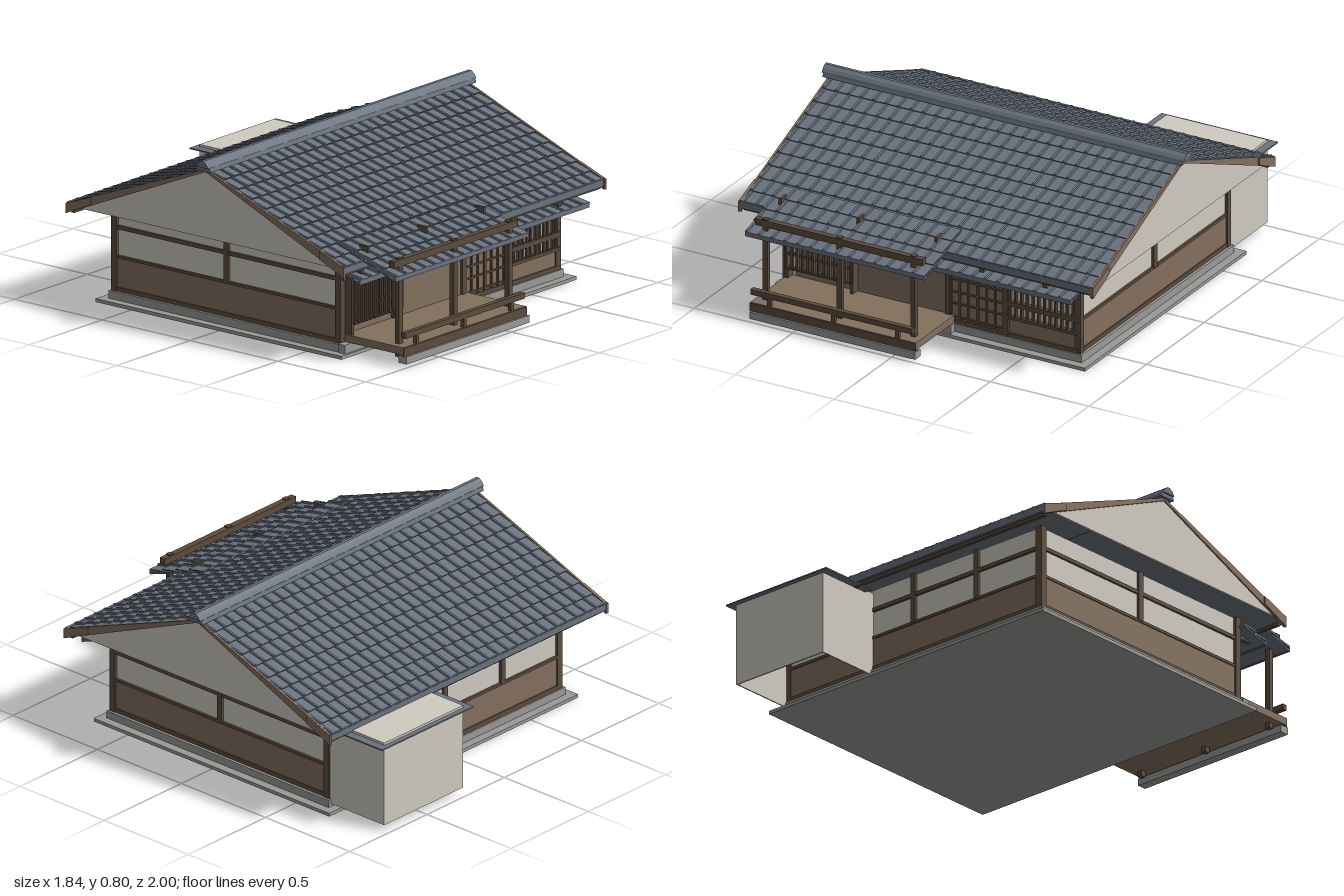
import * as THREE from 'three';

const mat = (name, color) => {
  const m = new THREE.MeshStandardMaterial({ color });
  m.name = name;
  return m;
};

export function createModel() {
  const model = new THREE.Group();
  model.name = 'house';
  const plaster = mat('plaster', 0xd0cbc0);
  const wood = mat('wood', 0x84705e);
  const darkWood = mat('darkWood', 0x5c4c3d);
  const tile = mat('roofTile', 0x6a737f);
  const stone = mat('stone', 0x9a9a98);

  const add = (name, geo, material, parent = model) => {
    const mesh = new THREE.Mesh(geo, material);
    mesh.name = name;
    parent.add(mesh);
    return mesh;
  };
  // Box given by its minimum and maximum on each axis
  const box = (name, material, x0, x1, y0, y1, z0, z1, parent) => {
    const mesh = add(name, new THREE.BoxGeometry(x1 - x0, y1 - y0, z1 - z0), material, parent);
    mesh.position.set((x0 + x1) / 2, (y0 + y1) / 2, (z0 + z1) / 2);
    return mesh;
  };
  // Outline in the z-y plane, extruded along x from x0 to x1
  const sidePanel = (name, material, pts, x0, x1) => {
    const shape = new THREE.Shape(pts.map(([z, y]) => new THREE.Vector2(z, y)));
    const geo = new THREE.ExtrudeGeometry(shape, { depth: x1 - x0, bevelEnabled: false });
    geo.rotateY(-Math.PI / 2).translate(x1, 0, 0);
    return add(name, geo, material);
  };
  // Sloping roof of overlapping ribbed courses, running down towards +z
  const tiledSlope = (name, x0, x1, yTop, zTop, yLow, zLow, courses, thick) => {
    const g = new THREE.Group();
    g.name = name;
    const dz = zLow - zTop, dy = yTop - yLow, len = Math.hypot(dz, dy), w = x1 - x0;
    g.position.set(x0, yTop, zTop);
    g.rotation.x = Math.atan2(dy, dz);
    box('roofDeck', tile, 0, w, -thick, 0, 0, len, g);
    const n = Math.round(w / 0.064), pitch = w / n, step = len / courses;
    const pts = [[0, 0], [w, 0]];
    for (let i = n - 1; i >= 0; i--) {
      const a = i * pitch;
      pts.push([a + pitch, 0.004], [a + 0.014, 0.004], [a + 0.012, 0.011], [a + 0.002, 0.011], [a, 0.004]);
    }
    const shape = new THREE.Shape(pts.map(p => new THREE.Vector2(...p)));
    const geo = new THREE.ExtrudeGeometry(shape, { depth: step * 1.06, bevelEnabled: false });
    for (let i = 0; i < courses; i++) {
      const c = add('tileCourse', geo, tile, g);
      c.position.z = i * step - (i === courses - 1 ? step * 0.06 : 0);
      c.rotation.x = -Math.atan2(0.01, step);
    }
    model.add(g);
    return g;
  };

  // Ground slab, footing and walls
  box('groundSlab', stone, -0.805, 0.805, 0, 0.016, -0.7, 0.7);
  box('footing', stone, -0.765, 0.765, 0.016, 0.052, -0.66, 0.66);
  box('walls', plaster, -0.742, 0.742, 0.052, 0.442, -0.642, 0.642);
  for (const s of [-1, 1]) {
    const strip = (name, m, y0, y1, out) =>
      box(name, m, Math.min(s * 0.74, s * out), Math.max(s * 0.74, s * out), y0, y1, -0.648, 0.648);
    strip('sideWainscot', wood, 0.052, 0.21, 0.747);
    strip('sideSill', darkWood, 0.052, 0.072, 0.752);
    strip('sideLowerRail', darkWood, 0.203, 0.216, 0.752);
    strip('sideUpperRail', darkWood, 0.335, 0.353, 0.752);
    box('sidePost', darkWood, s * 0.747 - 0.008, s * 0.747 + 0.008, 0.21, 0.445, -0.014, 0.014);
    for (const t of [-1, 1])
      box('cornerPost', darkWood, s * 0.738 - 0.017, s * 0.738 + 0.017, 0.052, 0.445, t * 0.637 - 0.016, t * 0.637 + 0.016);
  }

  // Back wall
  box('backWainscot', wood, -0.742, 0.742, 0.052, 0.21, -0.648, -0.64);
  for (const [y0, y1] of [[0.052, 0.072], [0.203, 0.216], [0.335, 0.353]])
    box('backRail', darkWood, -0.742, 0.742, y0, y1, -0.653, -0.64);
  for (const x of [-0.37, 0, 0.37])
    box('backPost', darkWood, x - 0.013, x + 0.013, 0.21, 0.445, -0.655, -0.64);

  // Front wall panels
  box('frontPanel', wood, -0.69, 0.38, 0.052, 0.35, 0.64, 0.648);
  box('windowApron', wood, 0.38, 0.742, 0.052, 0.15, 0.64, 0.648);
  box('frontSill', darkWood, -0.742, 0.742, 0.052, 0.072, 0.64, 0.655);
  box('frontLintel', darkWood, -0.742, 0.742, 0.338, 0.358, 0.64, 0.66);
  for (const x of [-0.39, 0.085, 0.38])
    box('frontPost', darkWood, x - 0.012, x + 0.012, 0.052, 0.44, 0.64, 0.66);

  // Sliding doors
  for (let i = 0; i < 2; i++) {
    const x0 = 0.1 + i * 0.136;
    for (let k = 0; k < 4; k++) {
      const x = x0 + k * 0.0433;
      box('doorStile', darkWood, x - 0.004, x + 0.004, 0.07, 0.34, 0.645, 0.656);
    }
    for (const y of [0.085, 0.15, 0.205, 0.265, 0.32])
      box('doorRail', darkWood, x0, x0 + 0.13, y - 0.004, y + 0.004, 0.645, 0.655);
  }

  // Barred window
  for (let i = 0; i < 12; i++) {
    const x = 0.4 + i * 0.029;
    box('windowBar', darkWood, x - 0.005, x + 0.005, 0.15, 0.34, 0.65, 0.662);
  }
  for (const [y0, y1] of [[0.143, 0.158], [0.205, 0.228]])
    box('windowRail', darkWood, 0.385, 0.742, y0, y1, 0.642, 0.664);

  // Projecting lattice
  for (let i = 0; i < 13; i++) {
    const x = -0.71 + i * 0.027;
    box('latticeBar', darkWood, x - 0.005, x + 0.005, 0.14, 0.355, 0.685, 0.7);
  }
  for (const y of [0.14, 0.21, 0.345])
    box('latticeRail', darkWood, -0.72, -0.38, y - 0.007, y + 0.007, 0.675, 0.69);
  for (const x of [-0.715, -0.385])
    box('latticeSide', darkWood, x - 0.008, x + 0.008, 0.08, 0.36, 0.645, 0.69);

  // Narrow front eave with brackets
  tiledSlope('frontEave', -0.785, 0.785, 0.405, 0.645, 0.362, 0.79, 2, 0.008);
  box('frontEaveEdge', tile, -0.785, 0.785, 0.352, 0.376, 0.78, 0.79);
  for (const x of [-0.72, -0.4, -0.08, 0.31, 0.63])
    box('eaveBracket', darkWood, x - 0.01, x + 0.01, 0.365, 0.405, 0.64, 0.75);

  // Main roof: two mirrored slopes
  tiledSlope('frontRoof', -0.884, 0.884, 0.742, 0, 0.442, 0.785, 10, 0.008);
  const back = new THREE.Group();
  back.name = 'backRoof';
  back.add(tiledSlope('backSlope', -0.884, 0.884, 0.742, 0, 0.442, 0.785, 10, 0.008));
  back.rotation.y = Math.PI;
  model.add(back);
  for (const s of [-1, 1]) {
    box('eaveEdge', tile, -0.895, 0.895, 0.425, 0.462, s * 0.782 - 0.006, s * 0.782 + 0.006);
    box('rafterPlate', darkWood, -0.88, 0.88, 0.412, 0.426, s * 0.765 - 0.008, s * 0.765 + 0.008);
    // Gable and tapering bargeboards
    const span = (a, b) => [Math.min(s * a, s * b), Math.max(s * a, s * b)];
    sidePanel('gable', plaster, [[-0.72, 0.442], [0.72, 0.442], [0, 0.748]], ...span(0.876, 0.887));
    for (const t of [-1, 1]) {
      const pts = [[0, 0.745], [t * 0.79, 0.41], [t * 0.79, 0.457], [0, 0.758]];
      sidePanel('bargeboard', wood, pts, ...span(0.884, 0.894));
      const end = [[t * 0.65, 0.472], [t * 0.65, 0.508], [t * 0.792, 0.456], [t * 0.792, 0.409]];
      sidePanel('bargeboardEnd', wood, end, ...span(0.888, 0.9));
    }
  }

  // Ridge
  sidePanel('ridgeBase', tile,
    [[-0.042, 0.752], [0.042, 0.752], [0.036, 0.772], [-0.036, 0.772]], -0.91, 0.91);
  sidePanel('ridgeCap', tile,
    [[-0.036, 0.77], [0.036, 0.77], [0.024, 0.788], [0.008, 0.8], [-0.008, 0.8], [-0.024, 0.788]], -0.918, 0.918);

  // Porch deck on its plinth
  box('porchPlinth', stone, -0.72, 0.12, 0.016, 0.05, 0.955, 1);
  box('porchStep', stone, -0.77, 0.12, 0.016, 0.056, 0.65, 0.69);
  box('porchDeck', wood, -0.725, 0.115, 0.056, 0.09, 0.65, 0.985);
  box('deckEdge', darkWood, -0.725, 0.115, 0.05, 0.088, 0.975, 0.99);
  box('porchRail', darkWood, -0.72, 0.1, 0.13, 0.156, 0.968, 0.992);
  for (const x of [-0.63, -0.305, 0.02])
    box('railPost', darkWood, x - 0.009, x + 0.009, 0.05, 0.135, 0.97, 0.988);
  for (const x of [-0.68, -0.305, 0.07]) {
    box('porchPost', darkWood, x - 0.012, x + 0.012, 0.03, 0.48, 0.91, 0.935);
    box('sideRail', darkWood, x - 0.008, x + 0.008, 0.43, 0.446, 0.72, 0.92).visible = true;
  }
  box('porchBeam', darkWood, -0.73, 0.12, 0.443, 0.474, 0.908, 0.937);

  // Porch roof
  tiledSlope('porchRoof', -0.76, 0.15, 0.508, 0.65, 0.402, 0.968, 4, 0.008);
  box('porchRoofEdge', tile, -0.76, 0.15, 0.394, 0.414, 0.96, 0.97);
  for (const x of [-0.7, -0.305, 0.09])
    box('rafterEnd', darkWood, x - 0.007, x + 0.007, 0.465, 0.508, 0.72, 0.77);

  // Rear annex, open underneath, with a thin eave rim
  box('annexBackWall', plaster, 0.24, 0.75, 0.03, 0.425, -0.976, -0.97);
  for (const x of [0.24, 0.744])
    box('annexSideWall', plaster, x, x + 0.006, 0.03, 0.425, -0.976, -0.645);
  box('annexTop', plaster, 0.24, 0.75, 0.422, 0.43, -0.976, -0.7);
  box('annexEave', tile, 0.2, 0.79, 0.413, 0.419, -1, -0.7);
  return model;
}
